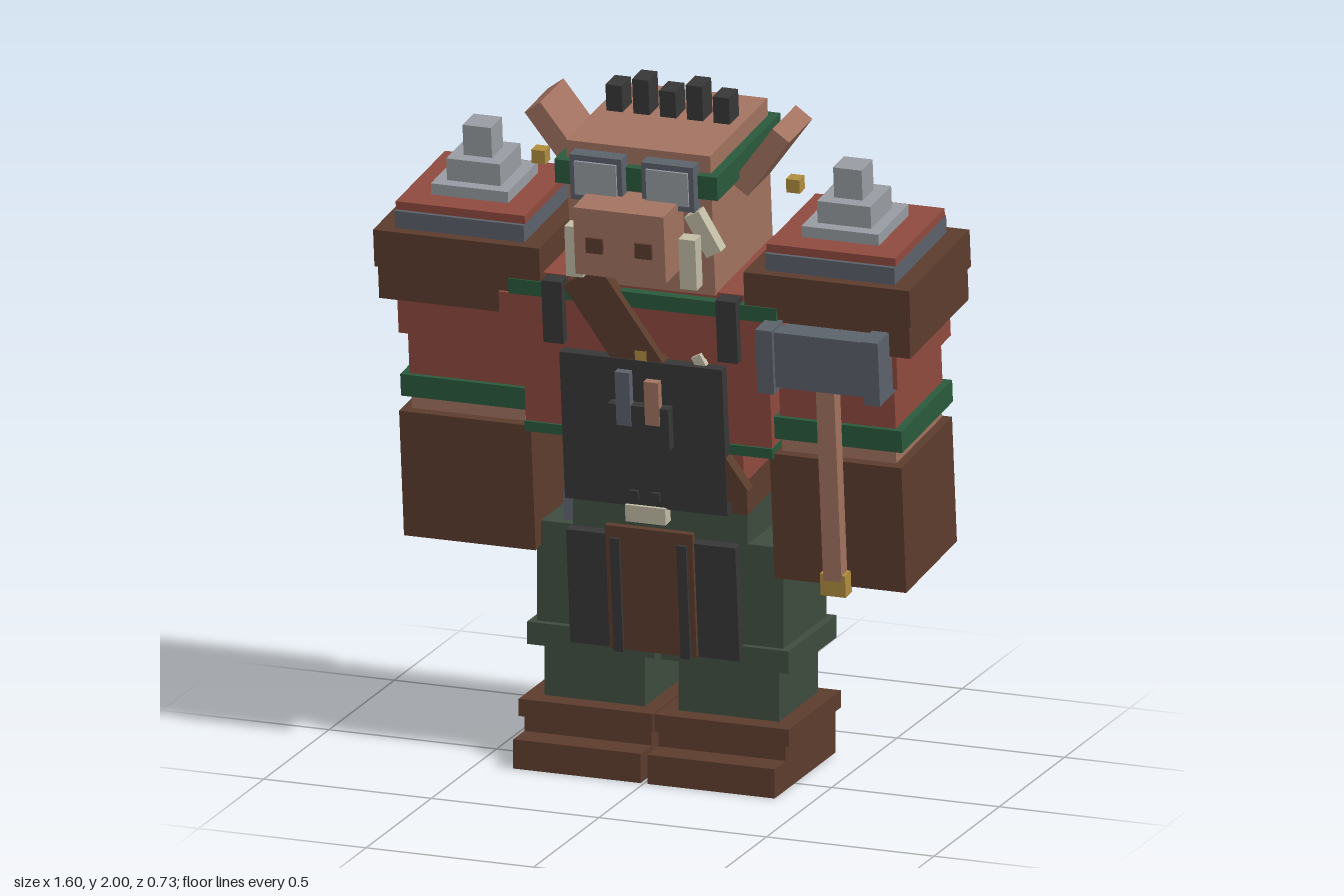
import * as THREE from 'three';

const mat = (name, color) => {
  const m = new THREE.MeshStandardMaterial({ color });
  m.name = name;
  return m;
};

const LEAN = 0.1; // forward lean of everything above the legs

export function createModel() {
  const red = mat('red cloth', 0x8f4a3f);
  const brown = mat('brown leather', 0x5c3c2d);
  const skin = mat('skin', 0xa27260);
  const green = mat('green trim', 0x2a5a3c);
  const pants = mat('trouser green', 0x3f4c3f);
  const black = mat('black leather', 0x373737);
  const steel = mat('light steel', 0x989ca2);
  const slate = mat('dark steel', 0x5c626b);
  const gold = mat('gold', 0xb08d3e);
  const bone = mat('bone', 0xc3bda6);

  const model = new THREE.Group();
  model.name = 'armouredSmith';

  // Upright box: size and centre
  const box = (name, m, [w, h, d], [x, y, z], rx = 0, rz = 0) => {
    const mesh = new THREE.Mesh(new THREE.BoxGeometry(w, h, d), m);
    mesh.name = name;
    mesh.position.set(x, y, z);
    mesh.rotation.set(rx, 0, rz);
    model.add(mesh);
    return mesh;
  };
  // Box that follows the forward lean, with an optional roll
  const lean = (name, m, size, pos, roll = 0) => box(name, m, size, pos, LEAN, roll);

  for (const s of [-1, 1]) {
    // Boots and legs
    box('boot', brown, [0.38, 0.13, 0.38], [s * 0.2, 0.065, -0.12]);
    box('bootToe', brown, [0.38, 0.085, 0.09], [s * 0.2, 0.0425, 0.11]);
    box('bootCuff', brown, [0.4, 0.05, 0.4], [s * 0.203, 0.155, -0.12]);
    box('shin', pants, [0.3, 0.16, 0.3], [s * 0.2, 0.255, -0.13]);
    box('kneeCuff', pants, [0.38, 0.065, 0.37], [s * 0.2, 0.365, -0.135]);
    box('thigh', pants, [0.345, 0.3, 0.33], [s * 0.195, 0.54, -0.135]);

    // Arms
    const x = s * 0.553;
    lean('gauntlet', brown, [0.393, 0.375, 0.39], [x, 0.82, -0.106]);
    lean('wrist', skin, [0.34, 0.06, 0.35], [x, 1.03, -0.095]);
    lean('sleeveCuff', green, [0.39, 0.065, 0.39], [x, 1.08, -0.095]);
    lean('lowerSleeve', red, [0.345, 0.16, 0.36], [x, 1.17, -0.085]);
    lean('upperSleeve', red, [0.383, 0.12, 0.41], [x, 1.3, -0.075]);

    // Shoulder armour
    lean('pauldronSkirt', brown, [0.435, 0.1, 0.45], [s * 0.575, 1.395, -0.07]);
    lean('pauldron', brown, [0.495, 0.11, 0.465], [s * 0.5525, 1.497, -0.06]);
    lean('pauldronPlate', slate, [0.385, 0.055, 0.4], [x, 1.575, -0.05]);
    lean('pauldronPad', red, [0.385, 0.03, 0.38], [x, 1.612, -0.047]);
    lean('spikeBase', steel, [0.23, 0.04, 0.23], [x, 1.64, -0.043]);
    lean('spikeStep', steel, [0.16, 0.07, 0.16], [x, 1.69, -0.038]);
    lean('spikeTip', steel, [0.085, 0.09, 0.085], [x, 1.77, -0.03]);

    // Ears and earrings
    lean('ear', skin, [0.06, 0.22, 0.18], [s * 0.305, 1.82, -0.04], -s * 0.64);
    lean('earring', gold, [0.04, 0.04, 0.04], [s * 0.38, 1.735, -0.03]);

    // Goggles, nostrils and tusks
    lean('goggleFrame', slate, [0.155, 0.135, 0.045], [s * 0.107, 1.775, 0.225]);
    lean('goggleLens', steel, [0.125, 0.1, 0.008], [s * 0.107, 1.773, 0.25]);
    lean('nostril', brown, [0.05, 0.045, 0.009], [s * 0.073, 1.612, 0.346]);
    lean('tusk', bone, [0.05, 0.15, 0.045], [s * 0.17, 1.56, 0.235]);

    // Chest straps and bib rivets
    lean('chestStrap', black, [0.06, 0.185, 0.05], [s * 0.26, 1.355, 0.165]);
    lean('rivet', black, [0.025, 0.025, 0.012], [s * 0.032, 0.835, 0.145]);
    lean('apronStrip', black, [0.028, 0.34, 0.015], [s * 0.1, 0.525, 0.103]);
  }

  // Hips, belt and torso
  box('hips', pants, [0.52, 0.22, 0.31], [0, 0.7, -0.125]);
  lean('belt', brown, [0.54, 0.1, 0.36], [0, 0.85, -0.12]);
  lean('waist', red, [0.54, 0.12, 0.38], [0, 0.94, -0.105]);
  lean('waistTrim', green, [0.74, 0.03, 0.445], [0, 1.012, -0.1]);
  lean('torso', red, [0.735, 0.28, 0.43], [0, 1.16, -0.085]);
  lean('chest', red, [0.86, 0.13, 0.46], [0, 1.345, -0.07]);
  lean('collarTrim', green, [0.8, 0.045, 0.48], [0, 1.432, -0.07]);
  lean('shoulderYoke', red, [0.74, 0.03, 0.43], [0, 1.457, -0.07]);

  // Diagonal strap, front and back
  lean('frontSash', brown, [0.13, 0.76, 0.04], [0.04, 1.16, 0.15], 0.59);
  lean('backSash', brown, [0.13, 0.78, 0.04], [0.07, 1.14, -0.325], 0.59);

  // Bib with pocket and tools
  lean('bib', black, [0.485, 0.44, 0.035], [0, 1.02, 0.142]);
  lean('bibPocket', black, [0.18, 0.125, 0.035], [0, 1.05, 0.178]);
  lean('chisel', slate, [0.043, 0.16, 0.025], [-0.043, 1.13, 0.195]);
  lean('toolGrip', skin, [0.043, 0.13, 0.025], [0.043, 1.125, 0.195]);
  lean('bibStud', gold, [0.035, 0.035, 0.03], [0, 1.25, 0.165]);
  lean('boneCharm', bone, [0.03, 0.07, 0.02], [0.175, 1.235, 0.155], 0.5);
  lean('beltBuckle', bone, [0.12, 0.05, 0.04], [0, 0.78, 0.125]);

  // Lower apron
  lean('apron', black, [0.505, 0.34, 0.035], [0, 0.53, 0.07]);
  lean('apronFlap', brown, [0.26, 0.37, 0.02], [0, 0.545, 0.092]);
  box('hipBlade', slate, [0.03, 0.1, 0.04], [-0.285, 0.735, -0.02]);

  // Head
  lean('head', skin, [0.43, 0.42, 0.44], [0, 1.675, -0.04]);
  lean('headband', green, [0.485, 0.07, 0.49], [0, 1.798, -0.028]);
  lean('snout', skin, [0.27, 0.2, 0.15], [0, 1.627, 0.268]);
  lean('noseStud', gold, [0.03, 0.035, 0.03], [-0.15, 1.69, 0.205]);
  lean('brokenTusk', bone, [0.05, 0.13, 0.04], [0.2, 1.64, 0.2], 0.5);

  // Hair tufts
  for (let i = -2; i <= 2; i++) {
    const h = i % 2 ? 0.105 : 0.08;
    lean('hairTuft', black, [0.048, h, 0.072], [i * 0.08, 1.887 + h / 2, -0.062]);
  }

  // Bone trophies behind the neck
  for (const [x, h] of [[-0.165, 0.15], [0, 0.19], [0.165, 0.15]]) {
    lean('neckBone', bone, [0.05, h, 0.03], [x, 1.49 + h / 2, -0.275]);
  }

  // Hammer carried on the left arm
  lean('hammerHandle', skin, [0.055, 0.58, 0.045], [0.548, 0.93, 0.125]);
  lean('hammerPommel', gold, [0.075, 0.065, 0.05], [0.548, 0.628, 0.09]);
  lean('hammerHead', slate, [0.3, 0.165, 0.14], [0.548, 1.305, 0.15]);
  for (const s of [-1, 1]) {
    lean('hammerFace', slate, [0.05, 0.19, 0.165], [0.548 + s * 0.158, 1.3, 0.15]);
  }

  return model;
}
